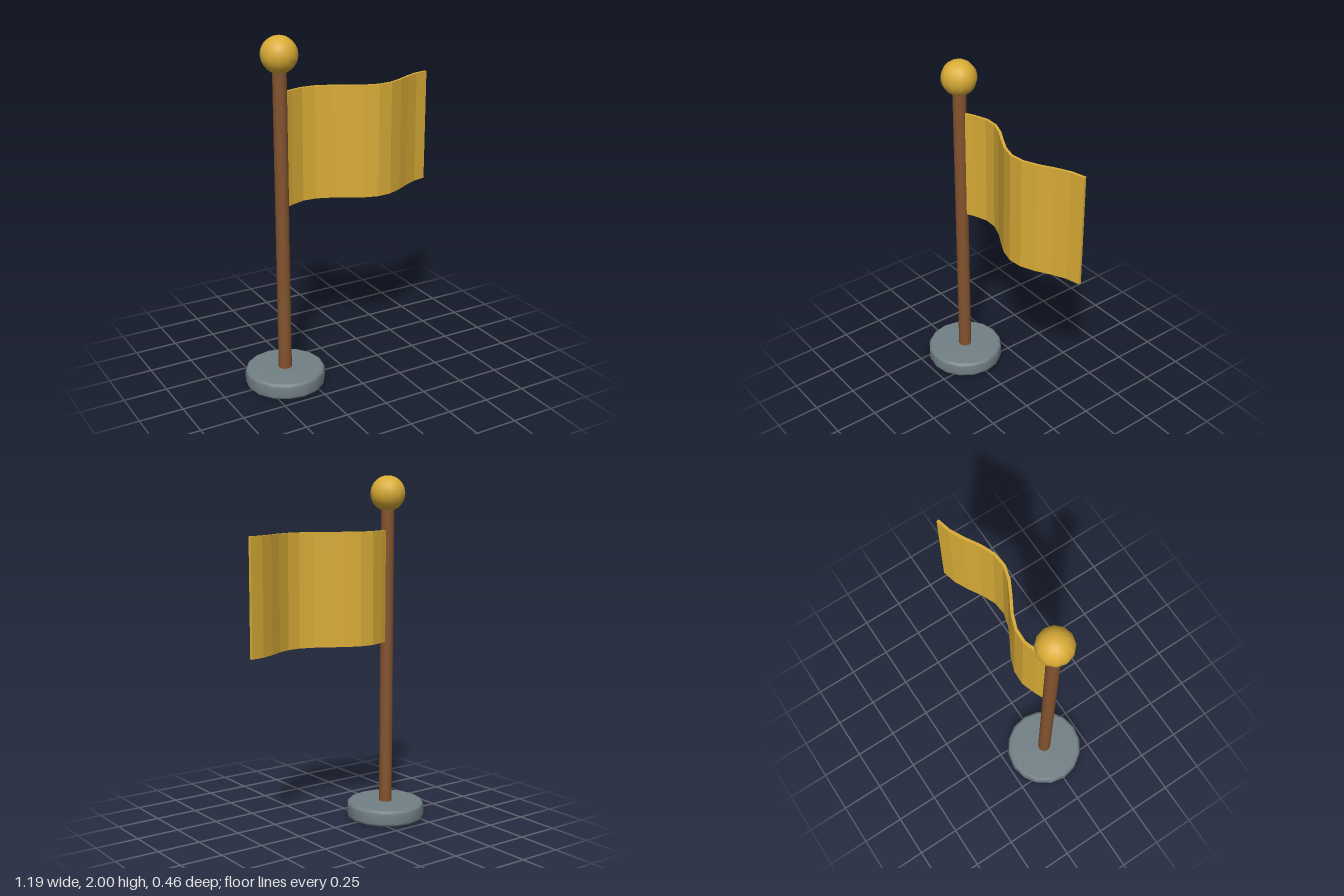
import * as THREE from 'three';

const POLE_X = -0.37;

export function createModel() {
  const model = new THREE.Group();
  const gold = new THREE.MeshStandardMaterial({ name: 'gold', color: 0xd9ac36 });
  const wood = new THREE.MeshStandardMaterial({ name: 'brown wood', color: 0x84542f });
  const stone = new THREE.MeshStandardMaterial({ name: 'grey stone', color: 0x728085 });

  function add(name, geometry, material, x = 0, y = 0) {
    const mesh = new THREE.Mesh(geometry, material);
    mesh.name = name;
    mesh.position.set(x, y, 0);
    model.add(mesh);
  }

  // Round base with softened rims and a tiny centre hole underneath
  const rim = [[0.01, 0], [0.208, 0], [0.222, 0.006], [0.228, 0.02],
    [0.228, 0.075], [0.222, 0.09], [0.208, 0.096], [0.01, 0.096]];
  add('base', new THREE.LatheGeometry(rim.map(p => new THREE.Vector2(...p)), 16), stone, POLE_X);

  // Pole and finial ball
  add('pole', new THREE.CylinderGeometry(0.038, 0.038, 1.85, 12), wood, POLE_X, 0.93);
  add('finial', new THREE.SphereGeometry(0.1, 12, 20), gold, POLE_X, 1.9);

  // Waving flag: a thin ribbon outline seen from above, extruded upward
  const wave = [0, -0.037, -0.064, -0.061, -0.031, 0.015, 0.057, 0.08, 0.073, 0.039, -0.008, -0.047, -0.066];
  const line = wave.map((z, i) => new THREE.Vector2(POLE_X + 0.08 * i, -z));
  const offset = (d) => line.map((p, i) => {
    const a = line[Math.max(i - 1, 0)], b = line[Math.min(i + 1, line.length - 1)];
    const t = b.clone().sub(a).normalize();
    return new THREE.Vector2(p.x - t.y * d, p.y + t.x * d);
  });
  const outline = new THREE.Shape([...offset(-0.008), ...offset(0.008).reverse()]);
  const flag = new THREE.ExtrudeGeometry(outline, { depth: 0.64, bevelEnabled: false });
  flag.rotateX(-Math.PI / 2);
  add('flag', flag, gold, 0, 1.055);

  return model;
}
